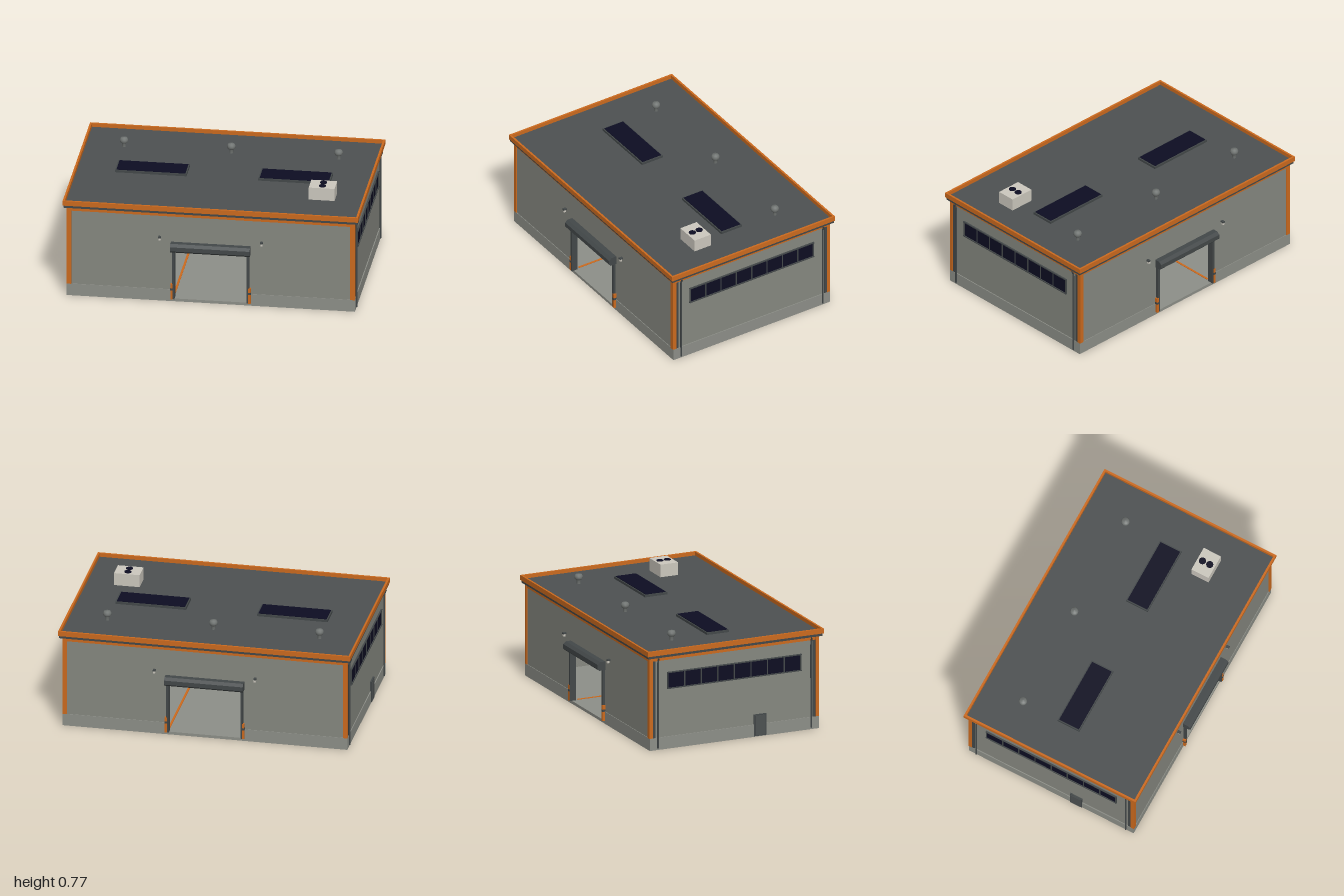
import * as THREE from 'three';

export function createModel() {
  const root = new THREE.Group();
  const mat = (name, color) => {
    const m = new THREE.MeshStandardMaterial({ color });
    m.name = name;
    return m;
  };
  const wall = mat('wall grey', 0x868880);
  const concrete = mat('concrete', 0x8d8f88);
  const dark = mat('roof grey', 0x4d5152);
  const trim = mat('dark trim', 0x434849);
  const orange = mat('orange', 0xcc6a1e);
  const glass = mat('dark glass', 0x0d0d22);
  const cream = mat('light unit grey', 0xccc8be);
  const steel = mat('steel', 0x707472);

  const add = (name, geo, m, parent = root) => {
    const mesh = new THREE.Mesh(geo, m);
    mesh.name = name;
    parent.add(mesh);
    return mesh;
  };
  // Box given by its limits on each axis
  const box = (name, m, x0, x1, y0, y1, z0, z1, parent = root) => {
    const mesh = add(name, new THREE.BoxGeometry(Math.abs(x1 - x0), y1 - y0, Math.abs(z1 - z0)), m, parent);
    mesh.position.set((x0 + x1) / 2, (y0 + y1) / 2, (z0 + z1) / 2);
    return mesh;
  };

  // Floor, lane lines and roof deck
  box('floorSlab', concrete, -0.974, 0.974, 0, 0.02, -0.626, 0.626);
  for (const s of [-1, 1]) box('laneLine', orange, s * 0.25, s * 0.265, 0.02, 0.023, -0.58, 0.58);
  box('roofDeck', dark, -0.985, 0.985, 0.645, 0.675, -0.637, 0.637);

  // Front and back walls with the gateway, mirrored
  for (const s of [1, -1]) {
    const end = new THREE.Group();
    end.name = s > 0 ? 'frontEnd' : 'backEnd';
    end.rotation.y = s > 0 ? 0 : Math.PI;
    root.add(end);
    const outline = new THREE.Shape();
    [[-0.97, 0.02], [-0.25, 0.02], [-0.25, 0.39], [0.25, 0.39], [0.25, 0.02], [0.97, 0.02], [0.97, 0.65], [-0.97, 0.65]]
      .forEach(([x, y], i) => (i ? outline.lineTo(x, y) : outline.moveTo(x, y)));
    add('gateWall', new THREE.ExtrudeGeometry(outline, { depth: 0.025, bevelEnabled: false }), wall, end).position.z = 0.598;
    box('topBand', orange, -0.974, 0.974, 0.622, 0.65, 0.615, 0.629, end);

    // Roller shutter housing with chamfered section
    const section = new THREE.Shape();
    [[0.615, 0.375], [0.667, 0.375], [0.68, 0.388], [0.68, 0.418], [0.66, 0.435], [0.615, 0.435]]
      .forEach(([z, y], i) => (i ? section.lineTo(-z, y) : section.moveTo(-z, y)));
    const housing = add('shutterHousing', new THREE.ExtrudeGeometry(section, { depth: 0.54, bevelEnabled: false }), trim, end);
    housing.rotation.y = Math.PI / 2;
    housing.position.x = -0.27;

    for (const k of [-1, 1]) {
      box('plinth', concrete, k * 0.25, k * 0.976, 0, 0.085, 0.6, 0.627, end);
      box('cornerTrim', orange, k * 0.945, k * 0.974, 0.085, 0.65, 0.61, 0.63, end);
      box('doorRail', trim, k * 0.245, k * 0.262, 0.02, 0.376, 0.595, 0.64, end);
      // Guard beside the gateway
      box('gateGuard', orange, k * 0.256, k * 0.272, 0.02, 0.13, 0.622, 0.643, end);
      box('guardBand', trim, k * 0.255, k * 0.273, 0.085, 0.1, 0.621, 0.644, end);
      // Wall lamp
      box('lampBracket', trim, k * 0.336, k * 0.354, 0.463, 0.473, 0.62, 0.647, end);
      box('lampHead', cream, k * 0.338, k * 0.352, 0.447, 0.463, 0.63, 0.645, end);
    }
  }

  // Side walls, mirrored by a half turn
  for (const s of [1, -1]) {
    const side = new THREE.Group();
    side.name = s > 0 ? 'leftSide' : 'rightSide';
    side.rotation.y = s > 0 ? 0 : Math.PI;
    root.add(side);
    box('sideWall', wall, 0.945, 0.97, 0.02, 0.65, -0.6, 0.6, side);
    box('sidePlinth', concrete, 0.945, 0.976, 0, 0.085, -0.626, 0.626, side);
    box('sideTopBand', orange, 0.96, 0.975, 0.622, 0.65, -0.628, 0.628, side);

    // Strip window with eight panes
    box('windowGlass', glass, 0.965, 0.974, 0.425, 0.53, -0.49, 0.49, side);
    for (const y of [0.418, 0.529]) box('windowRail', trim, 0.965, 0.981, y, y + 0.007, -0.498, 0.498, side);
    for (let i = 0; i <= 8; i++) {
      const z = -0.492 + i * 0.123;
      box('windowMullion', trim, 0.965, 0.978, 0.42, 0.533, z - 0.004, z + 0.004, side);
    }

    for (const k of [-1, 1]) {
      box('cornerTrimSide', orange, 0.96, 0.976, 0.085, 0.65, k * 0.604, k * 0.629, side);
      box('cornerStrip', trim, 0.96, 0.974, 0.085, 0.622, k * 0.584, k * 0.604, side);
      // Downpipe bending out to the gutter
      const path = new THREE.CatmullRomCurve3([[0.979, 0.012], [0.979, 0.3], [0.979, 0.6], [0.981, 0.628], [0.992, 0.648]]
        .map(([x, y]) => new THREE.Vector3(x, y, k * 0.568)));
      add('downpipe', new THREE.TubeGeometry(path, 16, 0.006, 8), trim, side);
    }
  }

  // Service door on one side
  box('serviceDoor', trim, -0.981, -0.96, 0.005, 0.155, 0.145, 0.235);
  box('serviceDoorPanel', dark, -0.984, -0.98, 0.01, 0.148, 0.152, 0.228);

  // Eaves gutter and orange parapet, as hollow rims
  const rim = (name, m, x, z, t, y0, y1) => {
    const shape = new THREE.Shape([[-x, -z], [x, -z], [x, z], [-x, z]].map((p) => new THREE.Vector2(...p)));
    const a = x - t, b = z - t;
    shape.holes.push(new THREE.Path([[-a, -b], [-a, b], [a, b], [a, -b]].map((p) => new THREE.Vector2(...p))));
    const mesh = add(name, new THREE.ExtrudeGeometry(shape, { depth: y1 - y0, bevelEnabled: false }), m);
    mesh.rotation.x = -Math.PI / 2;
    mesh.position.y = y0;
  };
  rim('eavesGutter', trim, 0.994, 0.646, 0.04, 0.648, 0.668);
  rim('parapet', orange, 1, 0.653, 0.014, 0.666, 0.7);

  // Skylights
  for (const s of [-1, 1]) {
    box('skylightFrame', trim, s * 0.243, s * 0.727, 0.67, 0.691, -0.085, 0.08);
    box('skylightGlass', glass, s * 0.252, s * 0.718, 0.688, 0.695, -0.077, 0.072);
  }

  // Turbine vents
  const ventProfile = [[0.013, 0.67], [0.013, 0.7], [0.022, 0.705], [0.028, 0.715], [0.028, 0.728], [0.021, 0.74], [0, 0.745]]
    .map((p) => new THREE.Vector2(...p));
  for (const x of [-0.727, 0, 0.727]) {
    add('roofVent', new THREE.LatheGeometry(ventProfile, 16), steel).position.set(x, 0, -0.348);
  }

  // Cooling unit with two fans
  box('coolingUnit', cream, 0.622, 0.797, 0.67, 0.763, 0.21, 0.34);
  for (const z of [0.247, 0.302]) {
    add('coolingFan', new THREE.CylinderGeometry(0.024, 0.024, 0.006, 20), glass).position.set(0.71, 0.764, z);
  }

  // Interior steel frame
  for (const x of [-0.75, -0.45, -0.15, 0.15, 0.45, 0.75]) {
    box('rafter', steel, x - 0.012, x + 0.012, 0.59, 0.625, -0.598, 0.598);
    if (Math.abs(x) > 0.3) {
      for (const s of [-1, 1]) box('column', steel, x - 0.012, x + 0.012, 0.02, 0.6, s * 0.57, s * 0.597);
    }
  }
  for (const z of [-0.4, 0, 0.4]) box('purlin', steel, -0.945, 0.945, 0.625, 0.646, z - 0.01, z + 0.01);

  return root;
}
